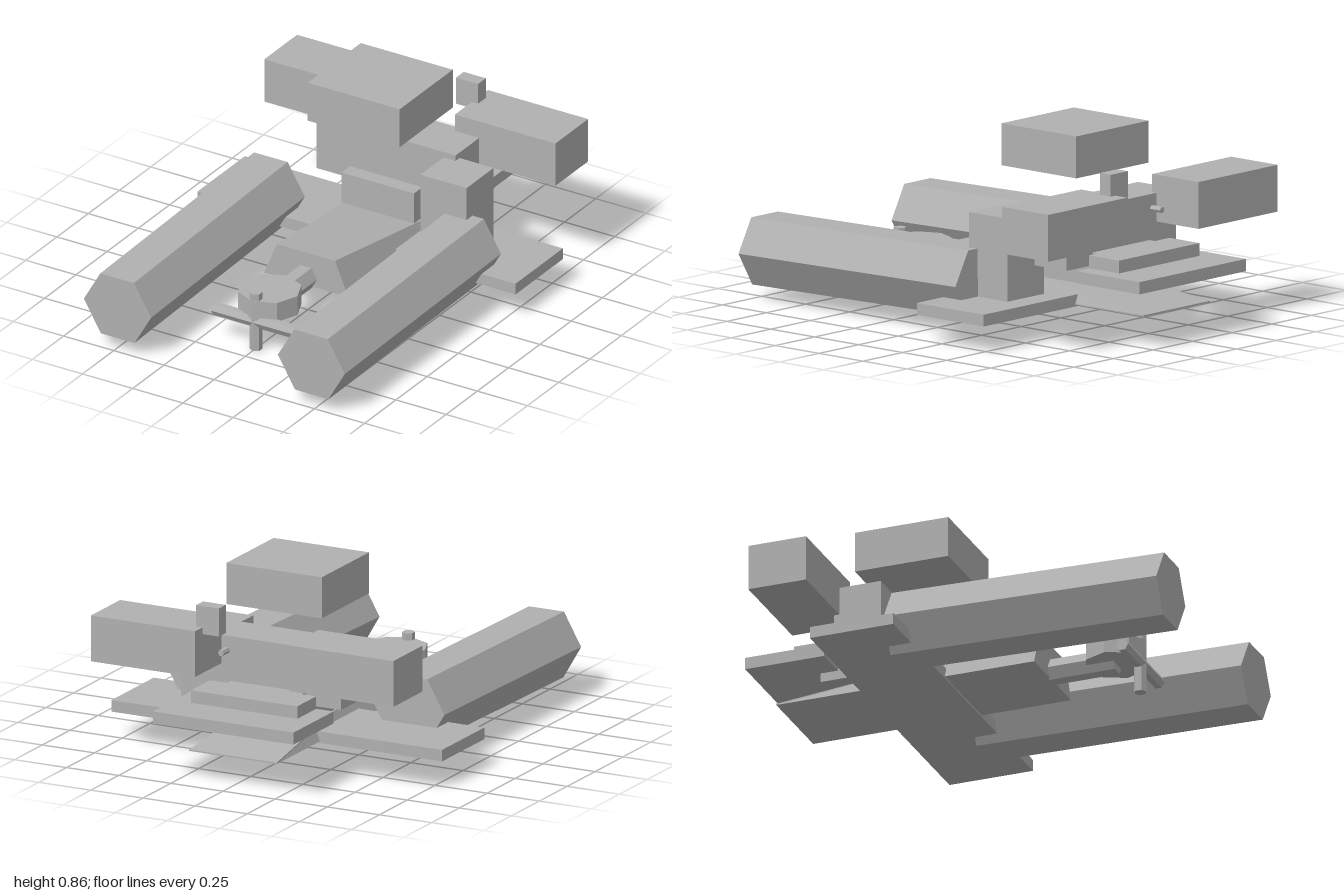
import * as THREE from 'three';

export function createModel() {
  const group = new THREE.Group();
  const grey = new THREE.MeshStandardMaterial({ color: 0xb0b0b0, flatShading: true });
  grey.name = 'grey';

  const add = (name, geometry, x = 0, y = 0, z = 0) => {
    const mesh = new THREE.Mesh(geometry, grey);
    mesh.name = name;
    mesh.position.set(x, y, z);
    group.add(mesh);
    return mesh;
  };
  // Box from its limits on each axis
  const block = (name, [x0, x1], [y0, y1], [z0, z1]) =>
    add(name, new THREE.BoxGeometry(x1 - x0, y1 - y0, z1 - z0),
      (x0 + x1) / 2, (y0 + y1) / 2, (z0 + z1) / 2);
  // Faceted rod along z, with corners on its left and right
  const rodZ = (name, radius, length, x, y, z) =>
    add(name, new THREE.CylinderGeometry(radius, radius, length, 6)
      .rotateY(Math.PI / 2).rotateX(Math.PI / 2), x, y, z);

  // Wedge hull: tall narrow-topped front, sharp flat rear edge
  const hull = new THREE.BoxGeometry(1, 1, 1);
  const p = hull.attributes.position;
  for (let i = 0; i < p.count; i++) {
    const side = Math.sign(p.getX(i)), top = p.getY(i) > 0, front = p.getZ(i) > 0;
    p.setXYZ(i, side * (top && front ? 0.145 : 0.21),
      top ? (front ? 0.28 : 0.131) : 0.125, front ? 0.265 : -0.91);
  }
  hull.computeVertexNormals();
  add('hull', hull);

  // Wing, cabin blocks and tail
  block('wing', [-0.795, 0.79], [0.117, 0.168], [-0.522, -0.142]);
  block('cabin', [-0.18, 0.18], [0.212, 0.355], [-0.72, -0.31]);
  block('rearBody', [-0.348, 0.345], [0.3, 0.552], [-0.592, -0.378]);
  block('rearStep', [-0.255, 0.255], [0.268, 0.36], [-0.81, -0.64]);
  block('tailPlate', [-0.338, 0.336], [0.252, 0.305], [-1.0, -0.64]);
  block('topBlock', [-0.23, 0.228], [0.675, 0.856], [-0.543, -0.118]);
  block('sideTower', [0.285, 0.515], [0.168, 0.526], [-0.41, -0.193]);
  block('smallBlock', [0.145, 0.255], [0.6, 0.724], [-0.764, -0.702]);

  // Mirrored engine boxes, pins and long hexagonal floats
  for (const s of [-1, 1]) {
    const limits = s > 0 ? [0.224, 0.724] : [-0.726, -0.226];
    block('engineBox', limits, [0.428, 0.63], [-0.83, -0.567]);
    rodZ('rearPin', 0.014, 0.25, s * 0.197, 0.49, -0.525);
    const float = rodZ('float', 0.167, 1.24, s * 0.486, 0.218, 0.378);
    float.rotation.set(0.019, -s * 0.005, 0);
  }

  // Nose shaft, octagonal drum and crossed bars
  rodZ('noseShaft', 0.055, 0.3, 0, 0.165, 0.41);
  add('noseDrum', new THREE.CylinderGeometry(0.138, 0.138, 0.09, 8), 0, 0.193, 0.555);
  add('uprightBar', new THREE.CylinderGeometry(0.028, 0.028, 0.27, 6), 0, 0.135, 0.665);
  add('crossBar', new THREE.CylinderGeometry(0.028, 0.028, 0.415, 6)
    .rotateZ(Math.PI / 2), 0, 0.135, 0.665);

  return group;
}
